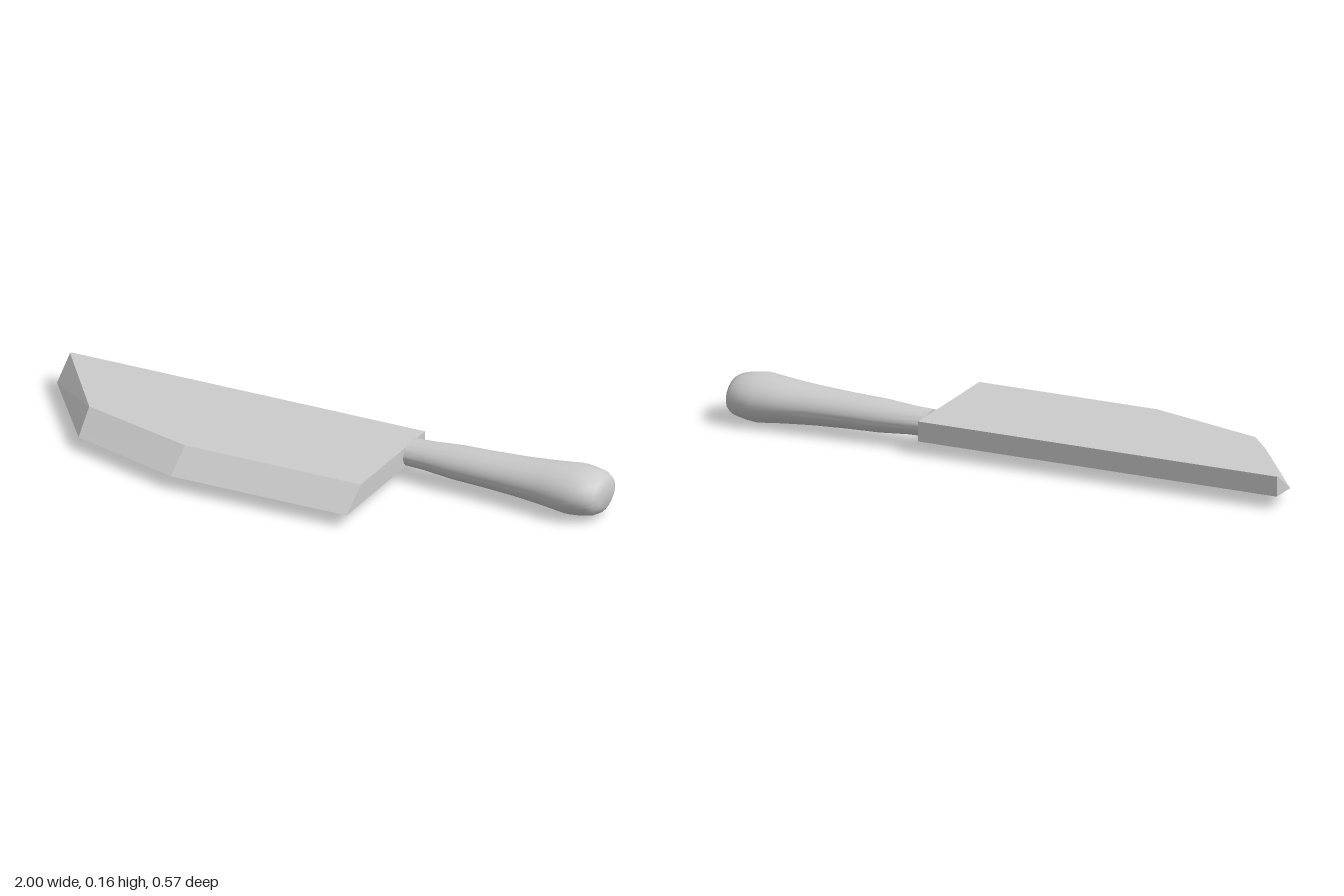
import * as THREE from 'three';
import { mergeVertices, toCreasedNormals } from 'three/addons/utils/BufferGeometryUtils.js';

const material = new THREE.MeshStandardMaterial({ color: 0xcccccc });

// Slab lofted between a wide lower outline and a narrower upper one, [x, z] corners
function loft(lower, upper, y0, y1) {
  const positions = [];
  const n = lower.length;
  const at = ([x, z], y) => [x, y, z];
  const tri = (a, b, c) => positions.push(...a, ...b, ...c);
  for (let i = 0; i < n; i++) {
    const j = (i + 1) % n;
    const a = at(lower[i], y0), b = at(lower[j], y0);
    const c = at(upper[j], y1), d = at(upper[i], y1);
    tri(a, b, c);
    tri(a, c, d);
  }
  for (let i = 1; i < n - 1; i++) {
    tri(at(upper[0], y1), at(upper[i], y1), at(upper[i + 1], y1));
    tri(at(lower[0], y0), at(lower[i + 1], y0), at(lower[i], y0));
  }
  const geometry = new THREE.BufferGeometry();
  geometry.setAttribute('position', new THREE.Float32BufferAttribute(positions, 3));
  geometry.computeVertexNormals();
  return geometry;
}

// Oval handle with twenty soft ribs, turned along x
function handleGeometry() {
  const ribs = 20;
  const profile = [
    [0, 0.29], [0.06, 0.29], [0.063, 0.36], [0.074, 0.46], [0.079, 0.58],
    [0.087, 0.7], [0.098, 0.8], [0.111, 0.89], [0.106, 0.93], [0.096, 0.97],
    [0.08, 0.99], [0.055, 1], [0, 1],
  ].map(([r, x]) => new THREE.Vector2(r, x));
  let geometry = new THREE.LatheGeometry(profile, ribs * 2, Math.PI / ribs);
  const p = geometry.attributes.position;
  for (let i = 0; i < p.count; i++) {
    const s = Math.floor(i / profile.length) % 2 ? 0.98 : 1;
    p.setXYZ(i, p.getX(i) * s * 0.72, p.getY(i), p.getZ(i) * s);
  }
  geometry.rotateZ(-Math.PI / 2);
  geometry.translate(0, 0.08, -0.173);
  geometry.deleteAttribute('uv');
  geometry.deleteAttribute('normal');
  geometry = mergeVertices(geometry, 1e-5);
  return toCreasedNormals(geometry, 0.9);
}

export function createModel() {
  const group = new THREE.Group();
  const add = (name, geometry) => {
    const mesh = new THREE.Mesh(geometry, material);
    mesh.name = name;
    group.add(mesh);
  };

  // Blade: square spine, bevelled cutting edge and tip
  const lower = [[-1, -0.268], [-1, -0.17], [-0.75, 0.16], [-0.35, 0.284], [0.29, 0.284], [0.29, -0.268]];
  const upper = [[-1, -0.268], [-1, -0.262], [-0.76, 0.066], [-0.35, 0.183], [0.29, 0.183], [0.29, -0.268]];
  add('blade', loft(lower, upper, 0.045, 0.113));

  add('handle', handleGeometry());
  return group;
}
